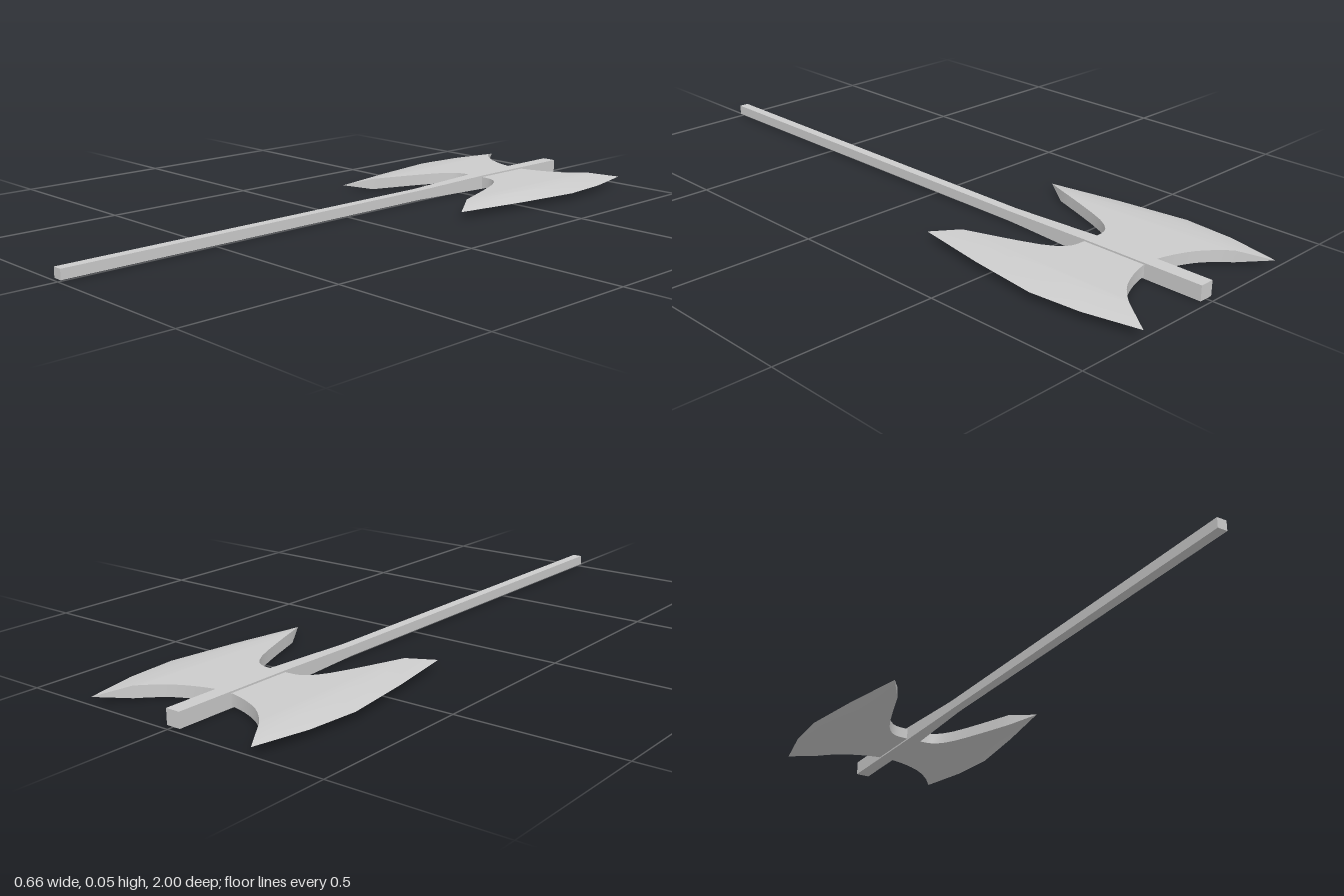
import * as THREE from 'three';
import { toCreasedNormals } from 'three/addons/utils/BufferGeometryUtils.js';

const MID = 0.0225;   // height of the axe's middle plane
const HALF = 0.0175;  // half thickness of the blade

// Non-indexed geometry from quads / triangles with counter-clockwise corners
function meshFaces(faces) {
  const pos = [];
  for (const f of faces)
    for (let i = 1; i + 1 < f.length; i++) pos.push(...f[0], ...f[i], ...f[i + 1]);
  const g = new THREE.BufferGeometry();
  g.setAttribute('position', new THREE.Float32BufferAttribute(pos, 3));
  g.computeVertexNormals();
  return g;
}

const curvePoints = (pts, n) =>
  new THREE.SplineCurve(pts.map(p => new THREE.Vector2(...p))).getPoints(n).map(p => [p.x, p.y]);

// One crescent blade on the +x side; outlines are [x, z] pairs
function bladeGeometry() {
  const n = 10;
  const rear = curvePoints([[0, -0.8], [0.03, -0.8], [0.085, -0.815], [0.145, -0.842], [0.19, -0.877], [0.222, -0.91]], n);
  const front = curvePoints([[0, -0.595], [0.05, -0.594], [0.085, -0.58], [0.122, -0.53], [0.165, -0.425], [0.206, -0.312]], n);
  const ridge = [rear[n], [0.255, -0.79], [0.268, -0.66], [0.245, -0.48], front[n]];
  const edge = [[0.28, -1], [0.317, -0.836], [0.33, -0.677], [0.3, -0.455], [0.259, -0.228]];
  const T = ([x, z]) => [x, HALF, z];
  const B = ([x, z]) => [x, -HALF, z];
  const E = ([x, z]) => [x, 0, z];

  const faces = [];
  for (const [P, flip] of [[T, false], [B, true]]) {
    const add = (...f) => faces.push(flip ? f.reverse() : f);
    // flat cheek
    for (let i = 0; i < n; i++) add(P(rear[i]), P(front[i]), P(front[i + 1]), P(rear[i + 1]));
    for (let i = 0; i < 3; i++) add(P(front[n]), P(ridge[i + 1]), P(ridge[i]));
    // ground bevel down to the cutting edge
    for (let i = 0; i < 4; i++) add(P(ridge[i]), P(ridge[i + 1]), E(edge[i + 1]), E(edge[i]));
  }
  // concave walls and the ends of the bevel
  for (let i = 0; i < n; i++) {
    faces.push([T(rear[i]), T(rear[i + 1]), B(rear[i + 1]), B(rear[i])]);
    faces.push([B(front[i]), B(front[i + 1]), T(front[i + 1]), T(front[i])]);
  }
  faces.push([T(rear[n]), E(edge[0]), B(rear[n])]);
  faces.push([B(front[n]), E(edge[4]), T(front[n])]);
  return toCreasedNormals(meshFaces(faces), 0.6);
}

// Square shaft, thicker towards the head: [z, half width] stations
function shaftGeometry() {
  const rings = [[1, 0.015], [-0.31, 0.015], [-0.6, 0.0225], [-0.98, 0.0225]]
    .map(([z, h]) => [[-h, -h, z], [h, -h, z], [h, h, z], [-h, h, z]]);
  const faces = [rings[0], [...rings[3]].reverse()];
  for (let k = 0; k < 3; k++)
    for (let i = 0; i < 4; i++) {
      const j = (i + 1) % 4;
      faces.push([rings[k][j], rings[k][i], rings[k + 1][i], rings[k + 1][j]]);
    }
  return meshFaces(faces);
}

export function createModel() {
  const axe = new THREE.Group();
  axe.name = 'doubleAxe';
  const material = new THREE.MeshStandardMaterial({ color: 0xcccccc });

  const add = (name, geometry) => {
    const mesh = new THREE.Mesh(geometry, material);
    mesh.name = name;
    mesh.position.y = MID;
    axe.add(mesh);
    return mesh;
  };

  add('shaft', shaftGeometry());
  const blade = bladeGeometry();
  add('leftBlade', blade);
  // the blade is symmetric top to bottom, so half a turn mirrors it
  add('rightBlade', blade).rotation.z = Math.PI;
  return axe;
}
